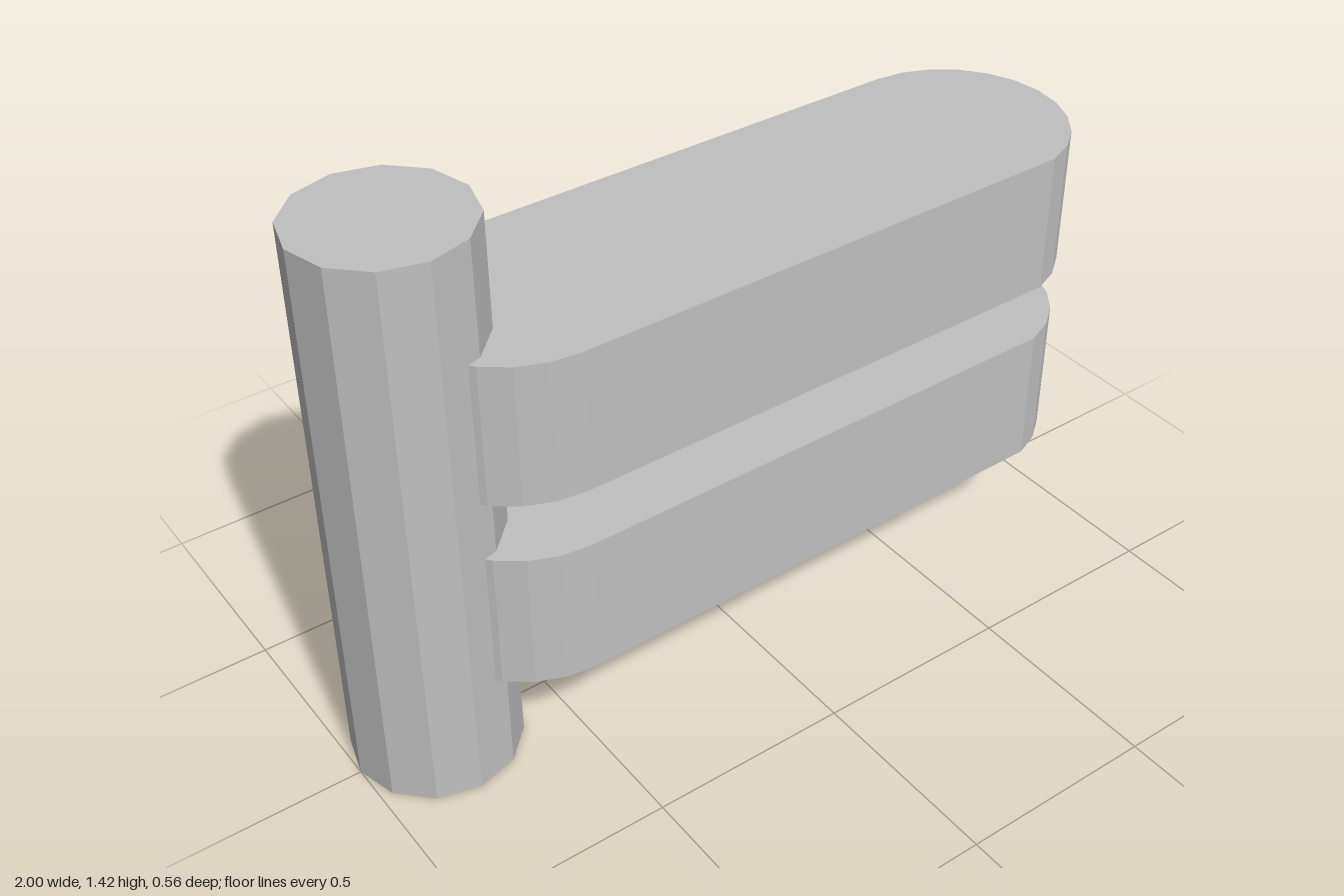
import * as THREE from 'three';

export function createModel() {
  const model = new THREE.Group();
  const grey = new THREE.MeshStandardMaterial({ color: 0xc0c0c0 });
  grey.name = 'grey';
  grey.flatShading = true;

  // Upright twelve-sided post
  const postHeight = 1.42;
  const post = new THREE.Mesh(new THREE.CylinderGeometry(0.203, 0.203, postHeight, 12), grey);
  post.name = 'post';
  post.position.set(-0.797, postHeight / 2, 0);
  model.add(post);

  // Rounded arm outline: two half rings of 15 degree steps, each missing its last point
  const radius = 0.28;
  const outline = [];
  for (const [centre, start] of [[0.72, -90], [-0.52, 90]]) {
    for (let i = 0; i < 12; i++) {
      const a = THREE.MathUtils.degToRad(start + i * 15);
      outline.push(new THREE.Vector2(centre + radius * Math.cos(a), radius * Math.sin(a)));
    }
  }
  const armHeight = 0.355;
  const armGeometry = new THREE.ExtrudeGeometry(new THREE.Shape(outline), { depth: armHeight, bevelEnabled: false });
  // Lay the outline flat, with shape y pointing to the front
  armGeometry.rotateX(Math.PI / 2).translate(0, armHeight, 0);

  // Two stacked arms
  [['lowerArm', 0.282], ['upperArm', 0.787]].forEach(([name, y]) => {
    const arm = new THREE.Mesh(armGeometry, grey);
    arm.name = name;
    arm.position.y = y;
    model.add(arm);
  });

  return model;
}
